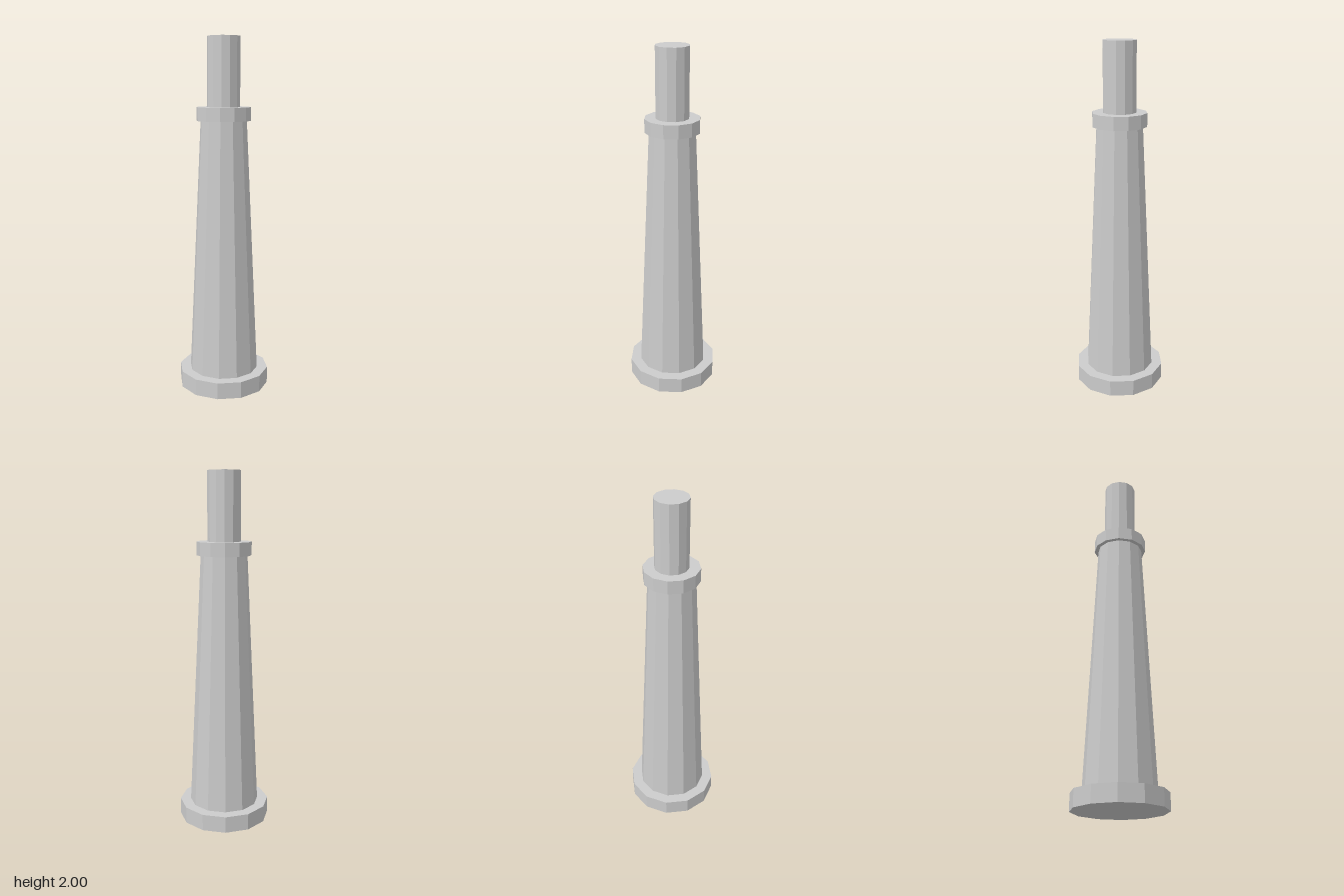
import * as THREE from 'three';

const SIDES = 12;

export function createModel() {
  const group = new THREE.Group();
  group.name = 'chimney';
  const lightGrey = new THREE.MeshStandardMaterial({ color: 0xcccccc, flatShading: true });
  lightGrey.name = 'lightGrey';

  // Stacked twelve-sided sections: name, bottom y, top y, bottom radius, top radius
  const sections = [
    ['base', 0, 0.095, 0.26, 0.26],
    ['taperedShaft', 0.095, 1.545, 0.199, 0.13],
    ['collar', 1.545, 1.62, 0.153, 0.153],
    ['topPipe', 1.62, 2, 0.092, 0.092],
  ];
  for (const [name, y0, y1, r0, r1] of sections) {
    const geometry = new THREE.CylinderGeometry(r1, r0, y1 - y0, SIDES);
    geometry.translate(0, (y0 + y1) / 2, 0);
    const mesh = new THREE.Mesh(geometry, lightGrey);
    mesh.name = name;
    group.add(mesh);
  }
  return group;
}
